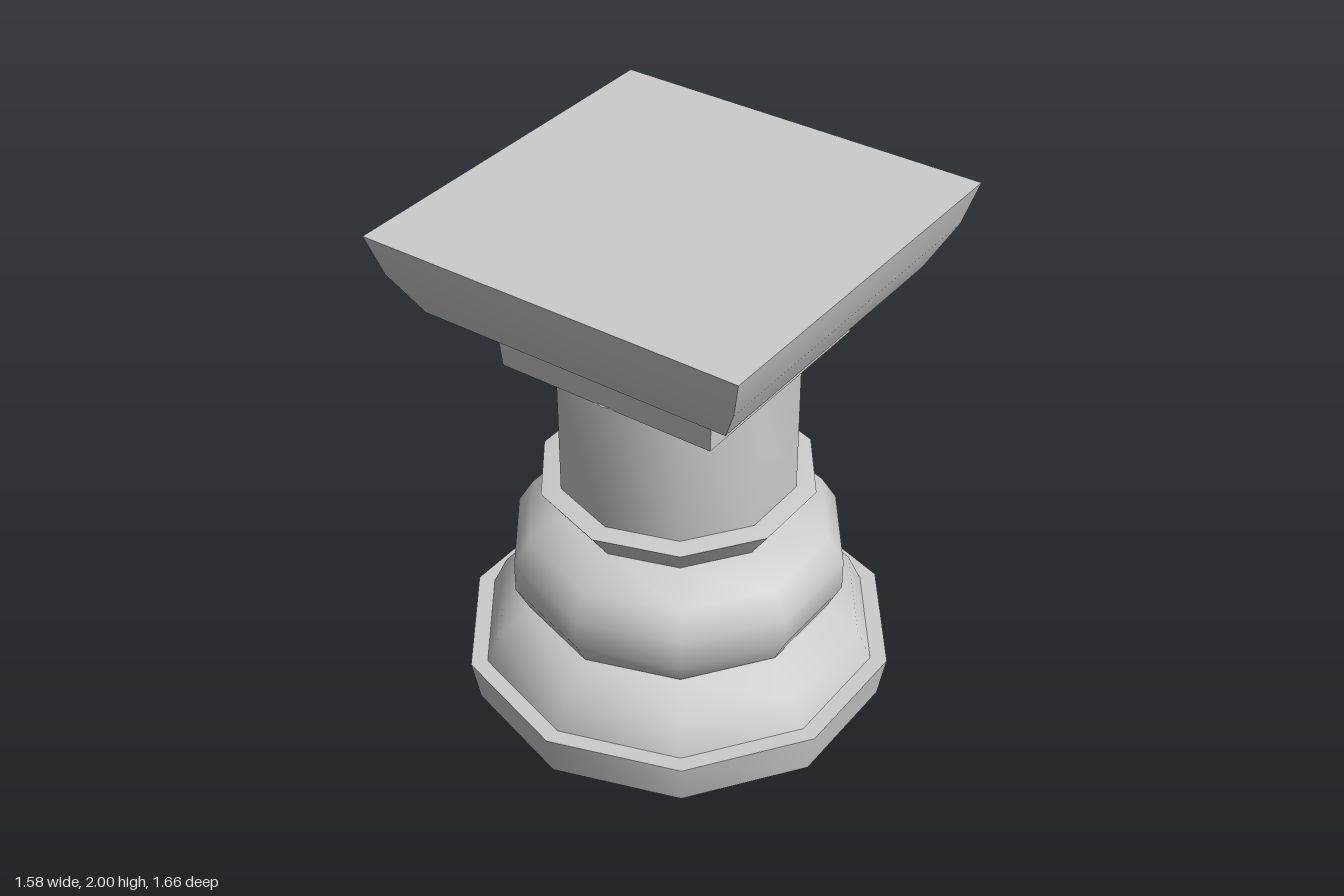
import * as THREE from 'three';
import { toCreasedNormals } from 'three/addons/utils/BufferGeometryUtils.js';

const CREASE = THREE.MathUtils.degToRad(46);

export function createModel() {
  const group = new THREE.Group();
  group.name = 'column';
  const stone = new THREE.MeshStandardMaterial({ color: 0xcccccc });
  stone.name = 'grey stone';

  // Turn a profile of [radius, height] pairs, listed from bottom to top
  function turned(name, profile, sides, phase = 0) {
    const points = profile.map(([r, y]) => new THREE.Vector2(r, y));
    const lathe = new THREE.LatheGeometry(points, sides, phase);
    const mesh = new THREE.Mesh(toCreasedNormals(lathe, CREASE), stone);
    mesh.name = name;
    group.add(mesh);
  }

  // Ten-sided parts, one corner facing the front
  const round = (name, profile) => turned(name, profile, 10);

  // Square parts: half widths become corner radii
  const square = (name, profile) =>
    turned(name, profile.map(([h, y]) => [h * Math.SQRT2, y]), 4, Math.PI / 4);

  round('basePlinth', [[0, 0], [0.8, 0], [0.83, 0.17], [0, 0.17]]);
  round('lowerMoulding', [[0.765, 0.17], [0.71, 0.29], [0.59, 0.388], [0, 0.388]]);
  round('upperMoulding', [
    [0, 0.392], [0.59, 0.392], [0.64, 0.49], [0.64, 0.61], [0.58, 0.71], [0.44, 0.79], [0, 0.79],
  ]);
  round('collar', [[0.44, 0.79], [0.525, 0.91], [0.45, 0.92], [0, 0.92]]);
  round('shaft', [[0.45, 0.915], [0.45, 1.44], [0, 1.44]]);

  // Neck block and flared capital
  square('neckBlock', [[0, 1.435], [0.44, 1.435], [0.457, 1.68], [0, 1.68]]);
  square('capital', [[0, 1.68], [0.618, 1.68], [0.706, 1.845], [0.75, 2], [0, 2]]);

  return group;
}
